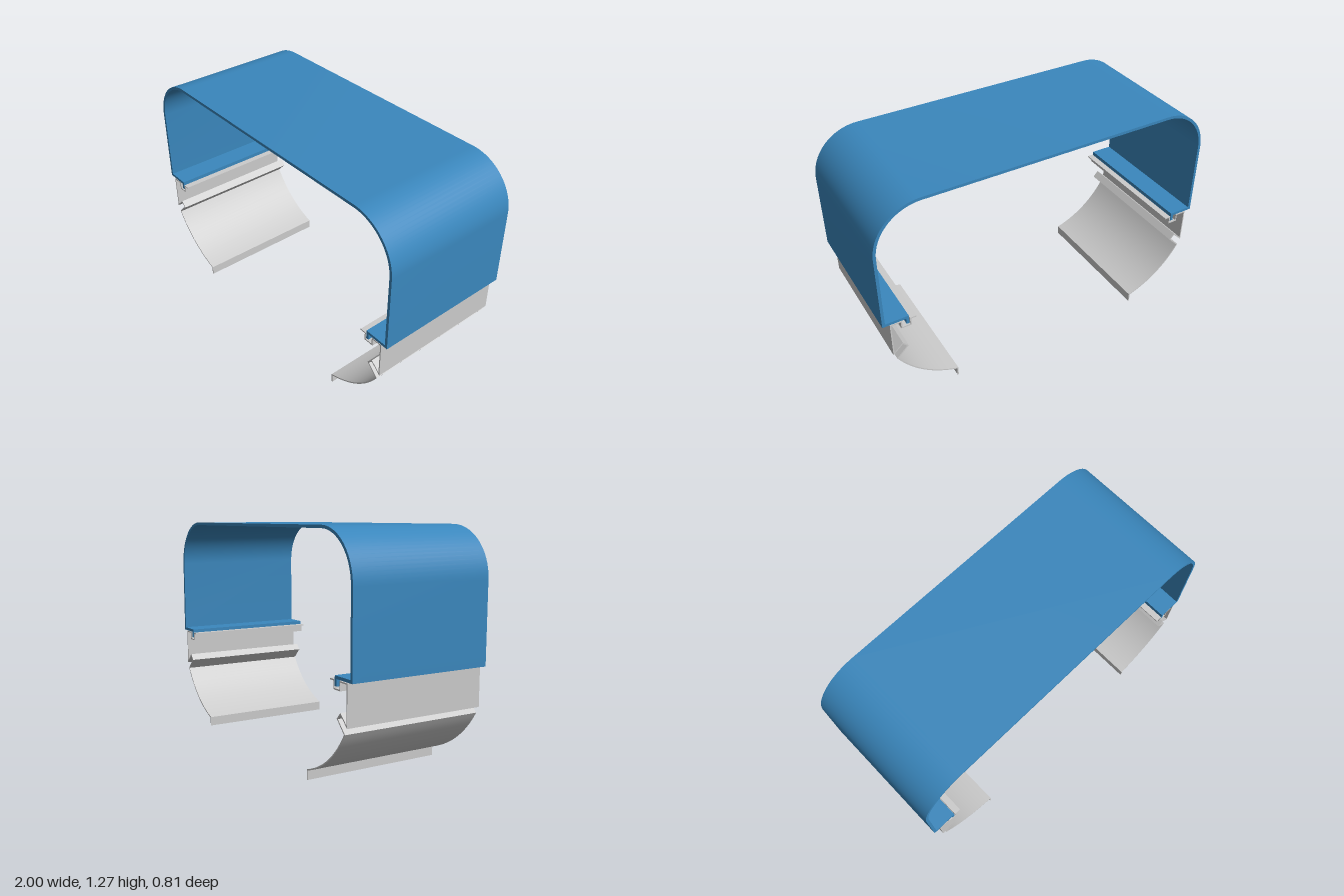
import * as THREE from 'three';
import { toCreasedNormals } from 'three/addons/utils/BufferGeometryUtils.js';

const DEPTH = 0.806;
const blue = new THREE.MeshStandardMaterial({ color: 0x3a87bd });
const grey = new THREE.MeshStandardMaterial({ color: 0xcccccc });
const V = (x, y) => new THREE.Vector2(x, y);

// Offset a centreline to one side, with mitred corners
function offset(points, d) {
  return points.map((p, i) => {
    const a = points[i - 1], b = points[i + 1];
    const before = (a ? p.clone().sub(a) : b.clone().sub(p)).normalize();
    const after = (b ? b.clone().sub(p) : before.clone()).normalize();
    const n0 = V(-before.y, before.x), n1 = V(-after.y, after.x);
    const miter = n0.clone().add(n1).normalize();
    return p.clone().addScaledVector(miter, d / miter.dot(n0));
  });
}

// Sheet of constant thickness following a centreline, extruded along z
function sheet(name, points, thickness, material) {
  const outline = [...offset(points, thickness / 2), ...offset(points, -thickness / 2).reverse()];
  const extrusion = new THREE.ExtrudeGeometry(new THREE.Shape(outline), { depth: DEPTH, bevelEnabled: false });
  extrusion.translate(0, 0, -DEPTH / 2);
  const mesh = new THREE.Mesh(toCreasedNormals(extrusion, Math.PI / 7), material);
  mesh.name = name;
  return mesh;
}

const mirror = (points) => points.map((p) => V(-p.x, p.y));

export function createModel() {
  const group = new THREE.Group();
  group.name = 'channelProfile';

  // Cover: hooked lip, flange, side wall and rounded shoulder, mirrored across the top
  const half = [V(0.862, 0.532), V(0.862, 0.575), V(0.992, 0.575)];
  const radius = 0.262;
  for (let i = 0; i <= 20; i++) {
    const a = (i / 20) * Math.PI / 2;
    half.push(V(0.73 + radius * Math.cos(a), 1.005 + radius * Math.sin(a)));
  }
  group.add(sheet('cover', [...half, ...mirror(half).reverse()], 0.016, blue));

  // Side rail: inner tab, hook channel, wall, slanted clip groove, curved skirt and foot
  const skirt = new THREE.QuadraticBezierCurve(V(0.939, 0.316), V(0.821, 0.122), V(0.6, 0.052));
  const rail = [
    V(0.812, 0.56), V(0.846, 0.56), V(0.846, 0.518), V(0.897, 0.518), V(0.897, 0.56),
    V(0.957, 0.56), V(0.957, 0.358), V(0.903, 0.408), V(0.877, 0.379),
    ...skirt.getPoints(20), V(0.6, 0),
  ];
  group.add(sheet('leftRail', rail, 0.007, grey));
  group.add(sheet('rightRail', mirror(rail), 0.007, grey));
  return group;
}
